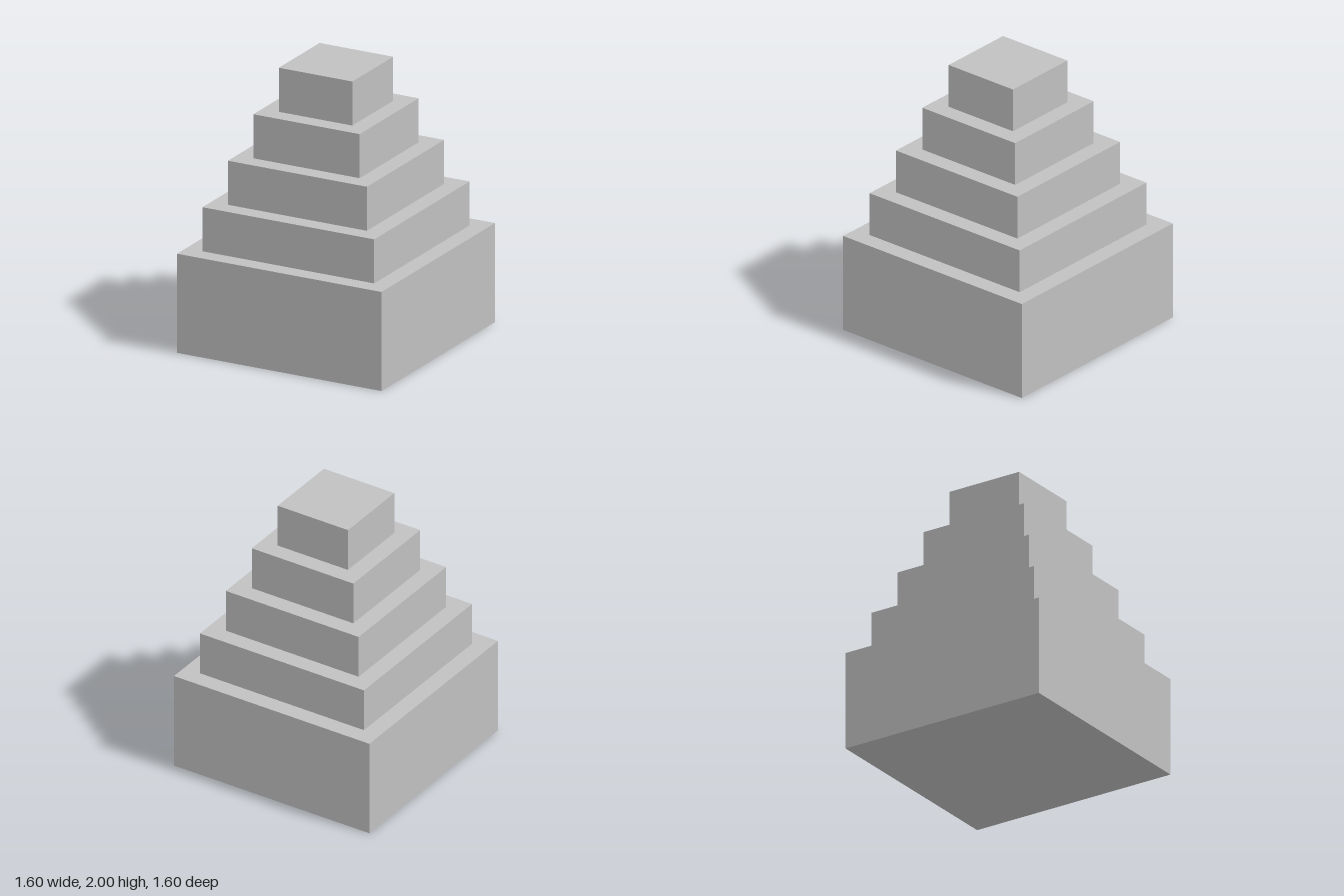
import * as THREE from 'three';

const TIERS = 5;
const BASE_HEIGHT = 0.72;
const STEP_HEIGHT = 0.32;
const BASE_WIDTH = 1.6;
const WIDTH_LOSS = 0.256;

export function createModel() {
  const model = new THREE.Group();
  model.name = 'steppedPyramid';

  const stone = new THREE.MeshStandardMaterial({ color: 0xc0c0c0 });
  stone.name = 'lightGrey';

  // Square tiers, each narrower than the one below; the base is tallest
  let y = 0;
  for (let i = 0; i < TIERS; i++) {
    const width = BASE_WIDTH - i * WIDTH_LOSS;
    const height = i === 0 ? BASE_HEIGHT : STEP_HEIGHT;
    const tier = new THREE.Mesh(new THREE.BoxGeometry(width, height, width), stone);
    tier.name = i === 0 ? 'base' : `tier${i}`;
    tier.position.y = y + height / 2;
    model.add(tier);
    y += height;
  }

  return model;
}
